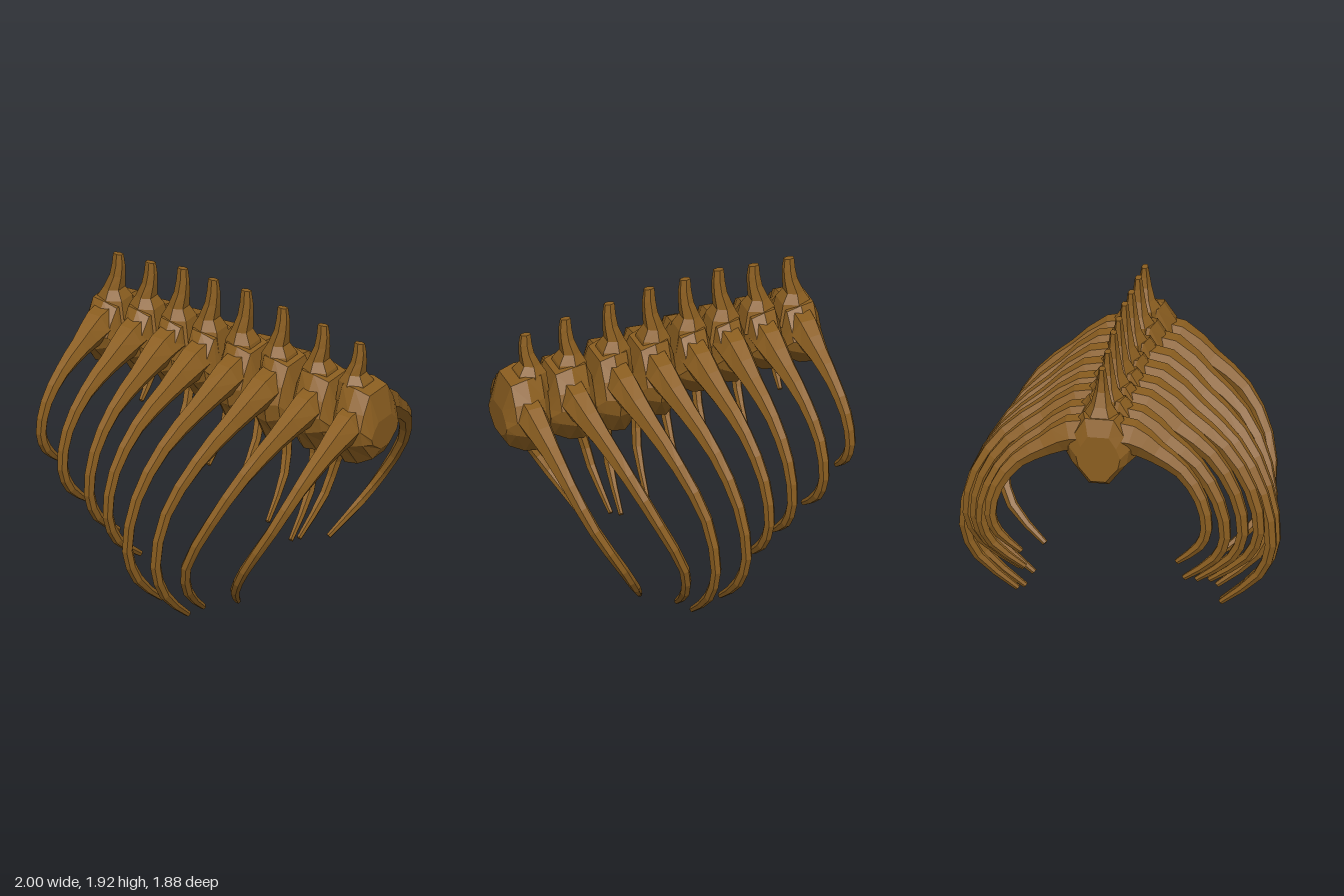
import * as THREE from 'three';

const material = new THREE.MeshStandardMaterial({ color: 0x8b5e20, flatShading: true, roughness: 0.9 });

// Skin a list of equal-sized rings, close both ends, and face the result outward
function loft(rings, name) {
  const n = rings[0].length, tris = [];
  for (let i = 0; i < rings.length - 1; i++) {
    for (let j = 0; j < n; j++) {
      const k = (j + 1) % n;
      const a = rings[i][j], b = rings[i][k], c = rings[i + 1][k], d = rings[i + 1][j];
      tris.push([a, b, c], [a, c, d]);
    }
  }
  const first = rings[0], last = rings[rings.length - 1];
  for (let j = 1; j < n - 1; j++) {
    tris.push([first[0], first[j + 1], first[j]], [last[0], last[j], last[j + 1]]);
  }
  const origin = first[0], e = new THREE.Vector3(), f = new THREE.Vector3(), g = new THREE.Vector3();
  let volume = 0;
  for (const [a, b, c] of tris) {
    volume += e.subVectors(a, origin).dot(f.subVectors(b, origin).cross(g.subVectors(c, origin)));
  }
  const points = tris.flatMap(([a, b, c]) => (volume < 0 ? [a, c, b] : [a, b, c]));
  const geometry = new THREE.BufferGeometry().setFromPoints(points);
  geometry.computeVertexNormals();
  const mesh = new THREE.Mesh(geometry, material);
  mesh.name = name;
  return mesh;
}

// Vertebral bodies: faceted blocks, waisted at the joints
// station: [along x, width scale, top drop, bottom lift]
const BODY = [[0, 0.62, 0.1, 0.03], [0.16, 0.85, 0, 0], [0.5, 1.08, 0, 0.02], [0.84, 0.98, 0.03, 0.07], [1, 0.72, 0.2, 0.14]];
// half outline from top to bottom: [z, height fraction]
const HALF = [[0.1, 1], [0.17, 0.76], [0.21, 0.54], [0.19, 0.32], [0.07, 0]];

function body({ x0, x1, top, bottom }) {
  const outline = [...HALF, ...HALF.map(([z, h]) => [-z, h]).reverse()];
  return loft(BODY.map(([u, w, drop, lift]) => outline.map(([z, h]) => new THREE.Vector3(
    THREE.MathUtils.lerp(x0, x1, u),
    THREE.MathUtils.lerp(bottom + lift, top - drop, h),
    z * w))), 'vertebraBody');
}

// Upright spinous processes: [height fraction, back x, front x, half width]
const SPINE = [[-0.5, -0.12, 0.09, 0.13], [0, -0.11, 0.06, 0.1], [0.2, -0.08, 0.025, 0.065],
  [0.5, -0.045, 0.035, 0.042], [0.75, -0.033, 0.038, 0.03], [1, -0.028, 0.03, 0.02]];

function spine({ top, tip: [tx, ty] }) {
  return loft(SPINE.map(([h, a, b, w]) => {
    const y = THREE.MathUtils.lerp(top, ty, h), m = (a + b) / 2;
    return [[a, 0.55], [m, 1], [b, 0.6], [b, -0.6], [m, -1], [a, -0.55]]
      .map(([x, s]) => new THREE.Vector3(tx + x, y, s * w));
  }), 'spinousProcess');
}

// Ribs: shared bow, fitted to each rib's root, reach and tip
const DROP = [-0.01, 0, 0.1, 0.23, 0.44, 0.68, 0.84, 1];
const REACH = [0, 0.12, 0.41, 0.71, 0.93, 1];
const RADIUS = [0.12, 0.11, 0.072, 0.052, 0.043, 0.038, 0.034, 0.018];

function rib({ rootY, tipY, reach, tipZ, xs }, side) {
  const [xa, xb, xc, xd, xe] = xs;
  const px = [xa, xa, xa + (xb - xa) * 0.45, xb, xc, xd, (xd + xe) / 2, xe];
  const points = DROP.map((g, i) => {
    const z = i < 6 ? 0.12 + (reach - 0.12) * REACH[i]
      : i === 6 ? THREE.MathUtils.lerp(reach, tipZ, 0.25) : tipZ;
    return new THREE.Vector3(px[i], THREE.MathUtils.lerp(rootY, tipY, g), (i ? z : 0.05) * side);
  });
  const curve = new THREE.CatmullRomCurve3(points);
  const rings = [];
  const steps = 14;
  for (let s = 0; s <= steps; s++) {
    const t = s / steps, k = Math.min(t * 7, 6.999), i = Math.floor(k);
    const r = THREE.MathUtils.lerp(RADIUS[i], RADIUS[i + 1], k - i);
    const p = curve.getPoint(t), tangent = curve.getTangent(t);
    const across = new THREE.Vector3(1, 0, 0).addScaledVector(tangent, -tangent.x).normalize();
    const out = new THREE.Vector3().crossVectors(tangent, across);
    rings.push(Array.from({ length: 6 }, (_, j) => {
      const a = (j / 6) * Math.PI * 2;
      return p.clone().addScaledVector(across, Math.cos(a) * r * 0.85).addScaledVector(out, Math.sin(a) * r);
    }));
  }
  return loft(rings, side > 0 ? 'frontRib' : 'backRib');
}

// One row per vertebra, along x
const SEGMENTS = [
  { x0: -0.99, x1: -0.74, top: 1.64, bottom: 1.22, tip: [-0.83, 1.915], rootY: 1.5, tipY: 0.74, reach: 0.64, tipZ: 0.46, xs: [-0.87, -0.92, -0.955, -0.97, -0.95] },
  { x0: -0.745, x1: -0.525, top: 1.64, bottom: 1.22, tip: [-0.61, 1.915], rootY: 1.48, tipY: 0.53, reach: 0.72, tipZ: 0.47, xs: [-0.64, -0.72, -0.765, -0.775, -0.74] },
  { x0: -0.52, x1: -0.31, top: 1.62, bottom: 1.18, tip: [-0.39, 1.93], rootY: 1.47, tipY: 0.41, reach: 0.79, tipZ: 0.51, xs: [-0.42, -0.5, -0.54, -0.55, -0.52] },
  { x0: -0.31, x1: -0.08, top: 1.6, bottom: 1.16, tip: [-0.18, 1.91], rootY: 1.44, tipY: 0.32, reach: 0.86, tipZ: 0.56, xs: [-0.2, -0.31, -0.365, -0.38, -0.34] },
  { x0: -0.08, x1: 0.175, top: 1.57, bottom: 1.05, tip: [0.045, 1.895], rootY: 1.41, tipY: 0.09, reach: 0.905, tipZ: 0.6, xs: [0.04, -0.11, -0.19, -0.22, -0.17] },
  { x0: 0.18, x1: 0.43, top: 1.55, bottom: 1.0, tip: [0.295, 1.845], rootY: 1.38, tipY: 0.02, reach: 0.9, tipZ: 0.58, xs: [0.28, 0.12, 0.01, -0.03, 0] },
  { x0: 0.43, x1: 0.715, top: 1.52, bottom: 1.0, tip: [0.57, 1.8], rootY: 1.33, tipY: 0.07, reach: 0.85, tipZ: 0.54, xs: [0.57, 0.42, 0.29, 0.15, 0.08] },
  { x0: 0.71, x1: 0.995, top: 1.5, bottom: 0.98, tip: [0.82, 1.745], rootY: 1.28, tipY: 0.15, reach: 0.79, tipZ: 0.51, xs: [0.85, 0.77, 0.67, 0.51, 0.3] },
];

export function createModel() {
  const model = new THREE.Group();
  model.name = 'ribcage';
  SEGMENTS.forEach((segment, i) => {
    const group = new THREE.Group();
    group.name = `vertebra${i + 1}`;
    group.add(body(segment), spine(segment), rib(segment, 1), rib(segment, -1));
    model.add(group);
  });
  return model;
}
